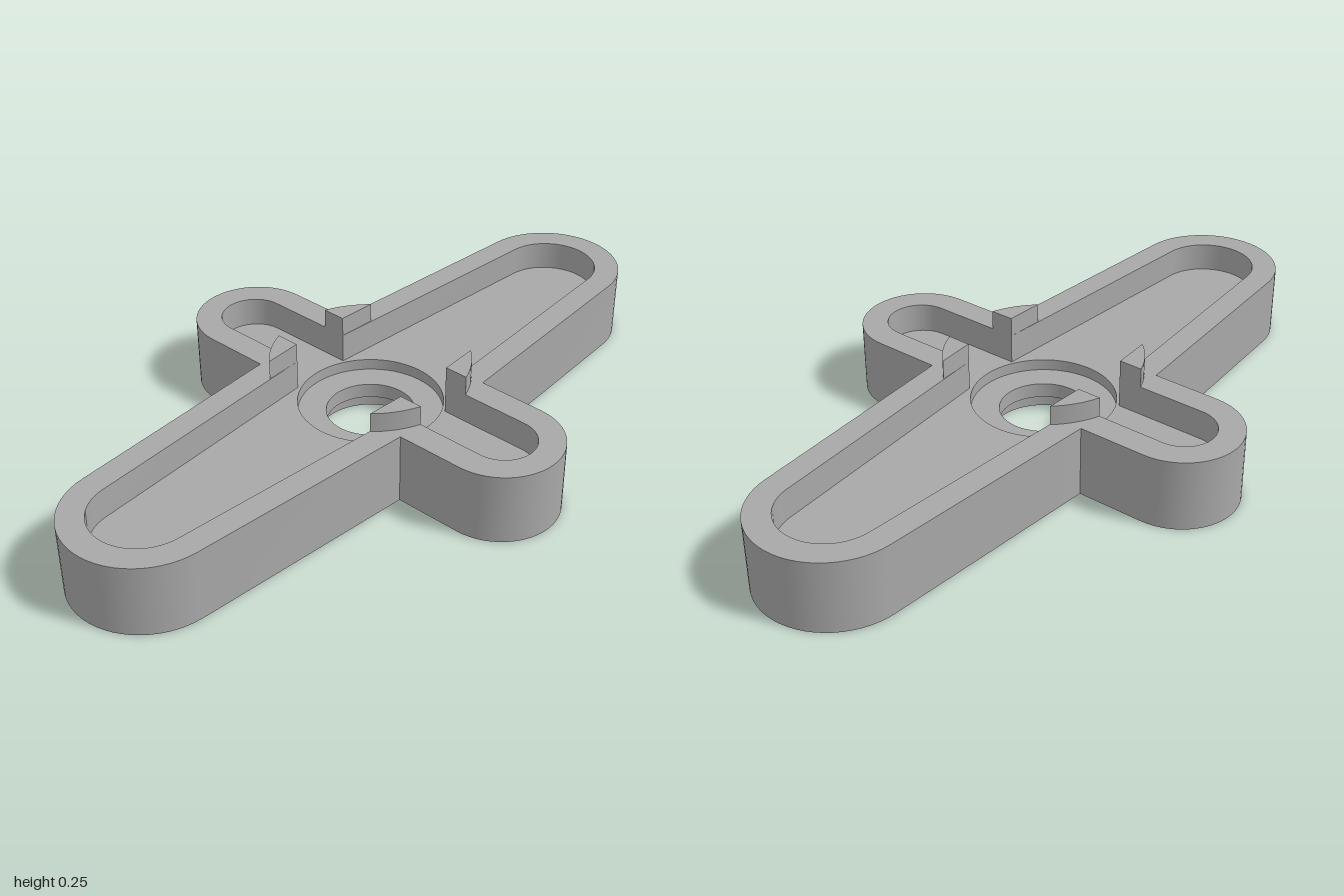
import * as THREE from 'three';
import { mergeGeometries, toCreasedNormals } from 'three/addons/utils/BufferGeometryUtils.js';

const RIM = 0.2, FLOOR = 0.117, HUB = 0.085, BORE = 0.043, POST = 0.255;

// points of an arc in plan, angles in degrees
function arc(cx, cy, r, from, to, steps) {
  return Array.from({ length: steps + 1 }, (_, i) => {
    const a = THREE.MathUtils.degToRad(from + (to - from) * i / steps);
    return new THREE.Vector2(cx + r * Math.cos(a), cy + r * Math.sin(a));
  });
}
const circle = r => arc(0, 0, r, 0, 360, 64).slice(0, -1);

// cross outline: two long tapered arms and two short straight arms
function cross(longR, shortR, shortC, cornerY) {
  const c = (sx, sy) => new THREE.Vector2(sx * shortR, sy * cornerY);
  return [
    ...arc(0.795, 0, longR, -86, 86, 28), c(1, 1),
    ...arc(0, shortC, shortR, 0, 180, 28), c(-1, 1),
    ...arc(-0.795, 0, longR, 94, 266, 28), c(-1, -1),
    ...arc(0, -shortC, shortR, 180, 360, 28), c(1, -1),
  ];
}

// flat face at height y, facing up or down
function cap(points, hole, y, up = true) {
  const shape = new THREE.Shape(points);
  if (hole) shape.holes.push(new THREE.Path(hole));
  const g = new THREE.ShapeGeometry(shape);
  g.rotateX(up ? -Math.PI / 2 : Math.PI / 2).translate(0, y, 0);
  g.deleteAttribute('uv');
  return g.toNonIndexed();
}

// upright wall along a closed loop, facing outward or inward
function wall(points, y0, y1, inward = false) {
  const loop = inward ? [...points].reverse() : points;
  const pos = [];
  loop.forEach((a, i) => {
    const b = loop[(i + 1) % loop.length];
    pos.push(a.x, y0, -a.y, b.x, y0, -b.y, b.x, y1, -b.y);
    pos.push(a.x, y0, -a.y, b.x, y1, -b.y, a.x, y1, -a.y);
  });
  const g = new THREE.BufferGeometry();
  g.setAttribute('position', new THREE.Float32BufferAttribute(pos, 3));
  g.computeVertexNormals();
  return toCreasedNormals(g, 0.4);
}

export function createModel() {
  const group = new THREE.Group();
  const grey = new THREE.MeshStandardMaterial({ color: 0xa8a8a8 });
  grey.name = 'grey plastic';
  const add = (name, ...parts) => {
    const mesh = new THREE.Mesh(mergeGeometries(parts), grey);
    mesh.name = name;
    group.add(mesh);
  };

  const outer = cross(0.205, 0.165, 0.44, 0.25);
  const inner = cross(0.135, 0.09, 0.445, 0.185);
  const hub = circle(0.197), hole = circle(0.12), bore = circle(0.145);

  // raised rim around the arms
  add('rim', wall(outer, 0, RIM), cap(outer, inner, RIM), wall(inner, FLOOR, RIM, true));
  // sunken floor and underside
  add('armFloor', cap(inner, hub, FLOOR));
  add('underside', cap(outer, bore, 0, false));
  // stepped hub with through hole and wider bore below
  add('hubRecess', wall(hub, HUB, FLOOR, true), cap(hub, hole, HUB));
  add('hubHole', wall(hole, BORE, HUB, true));
  add('lowerBore', wall(bore, 0, BORE, true), cap(bore, hole, BORE, false));

  // four corner posts standing on the rim
  const post = [new THREE.Vector2(0.09, 0.185), ...arc(0, 0, 0.268, 41.9, 70.4, 8)];
  for (const sx of [1, -1]) for (const sy of [1, -1]) {
    const pts = post.map(p => new THREE.Vector2(p.x * sx, p.y * sy));
    if (sx * sy < 0) pts.reverse();
    add('cornerPost', wall(pts, RIM, POST), cap(pts, null, POST));
  }
  return group;
}
